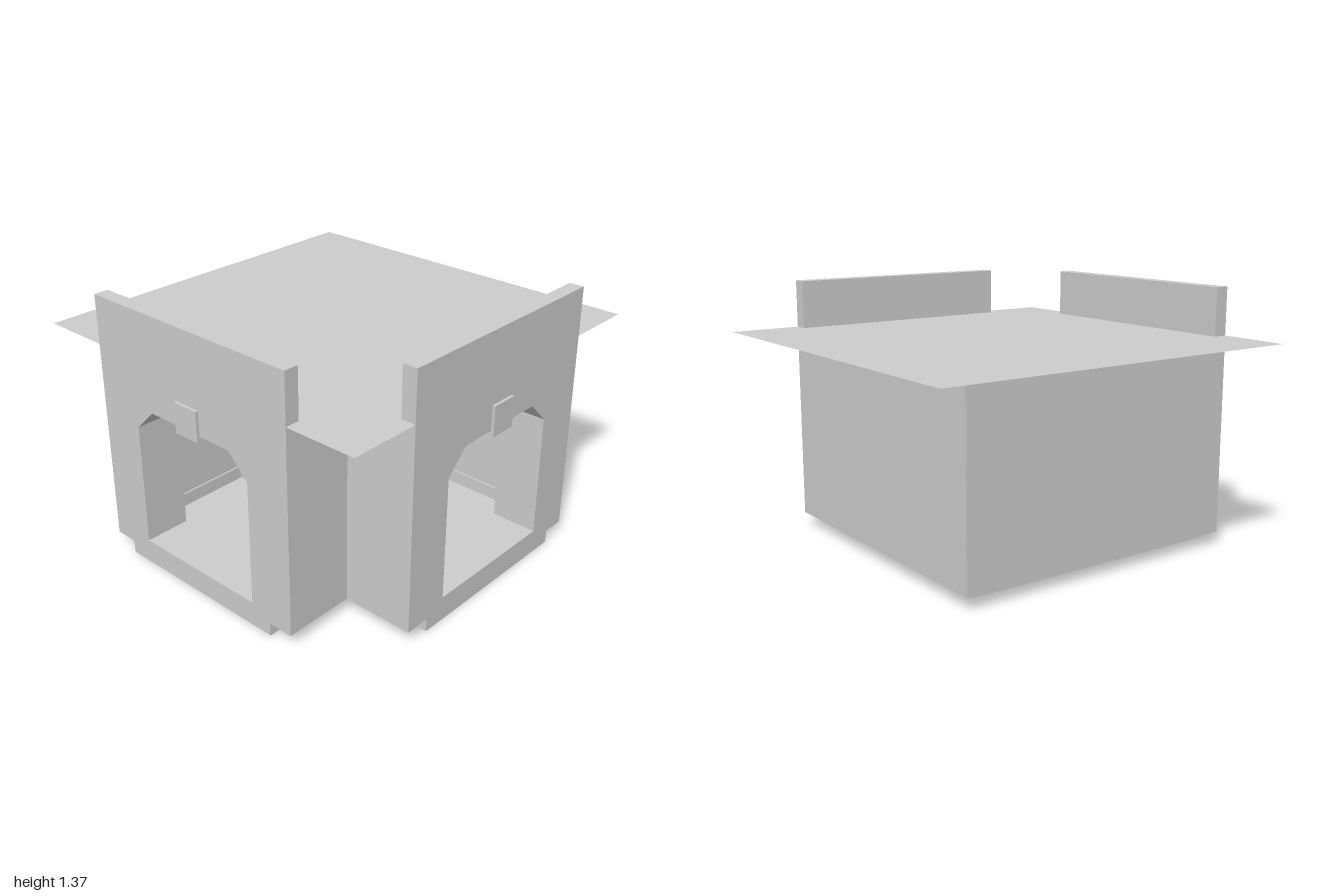
import * as THREE from 'three';

const plaster = new THREE.MeshStandardMaterial({ color: 0xcccccc, side: THREE.DoubleSide });
plaster.name = 'plaster grey';

const BASE = 0.067, FLOOR = 0.125, ROOF = 1.115, TOP = 1.365;

function add(parent, name, geometry) {
  const mesh = new THREE.Mesh(geometry, plaster);
  mesh.name = name;
  parent.add(mesh);
  return mesh;
}

// Box given by its two opposite corners
function box(parent, name, x0, x1, y0, y1, z0, z1) {
  const mesh = add(parent, name, new THREE.BoxGeometry(x1 - x0, y1 - y0, z1 - z0));
  mesh.position.set((x0 + x1) / 2, (y0 + y1) / 2, (z0 + z1) / 2);
}

const polygon = (points) => points.map(([x, y]) => new THREE.Vector2(x, y));

// L-shaped slab: a square with its front corner cut out
function slab(parent, name, y0, y1) {
  const plan = polygon([[-0.98, 0.505], [-0.98, -0.48], [-0.48, -0.48], [-0.48, -0.98], [0.505, -0.98], [0.505, 0.505]]);
  const geometry = new THREE.ExtrudeGeometry(new THREE.Shape(plan), { depth: y1 - y0, bevelEnabled: false });
  geometry.rotateX(-Math.PI / 2);
  add(parent, name, geometry).position.y = y0;
}

// One shop side: street facade, the wall opposite it and their trim
function createSide(name) {
  const side = new THREE.Group();
  side.name = name;

  // Facade with a chamfered doorway
  const wall = new THREE.Shape(polygon([[-0.61, BASE], [0.627, BASE], [0.627, ROOF], [-0.61, ROOF]]));
  wall.holes.push(new THREE.Path(polygon([
    [-0.365, FLOOR], [-0.365, 0.76], [-0.25, 0.873], [0.265, 0.873], [0.38, 0.76], [0.38, FLOOR],
  ])));
  const facade = new THREE.ExtrudeGeometry(wall, { depth: 0.24, bevelEnabled: false });
  add(side, 'facade', facade).position.z = 0.74;
  box(side, 'parapet', -0.61, 0.627, ROOF, TOP, 0.905, 0.98);
  box(side, 'keystone', -0.065, 0.08, 0.845, 1.0, 0.975, 0.995);

  // Rear wall and the wall of the cut corner
  box(side, 'rearWall', -0.74, 0.627, BASE, ROOF, -0.63, -0.505);
  box(side, 'cornerWall', -0.61, -0.48, BASE, ROOF, 0.48, 0.74);

  // Interior trim
  box(side, 'rearPilaster', -0.25, -0.11, FLOOR, ROOF, -0.505, -0.48);
  box(side, 'rearSkirting', -0.74, 0.505, FLOOR, 0.195, -0.505, -0.495);
  box(side, 'cornerPilaster', -0.48, -0.455, FLOOR, ROOF, 0.56, 0.7);
  box(side, 'cornerSkirting', -0.48, -0.47, FLOOR, 0.195, 0.48, 0.74);

  // Exposed bricks on the rear wall
  for (const [x0, x1, y0, y1] of [
    [0.045, 0.155, 0.745, 0.82], [0.1, 0.27, 0.335, 0.4], [0.23, 0.345, 0.23, 0.31],
  ]) box(side, 'exposedBrick', x0, x1, y0, y1, -0.505, -0.495);
  return side;
}

export function createModel() {
  const model = new THREE.Group();
  model.name = 'cornerShop';

  slab(model, 'foundation', 0, BASE);
  slab(model, 'floor', BASE, FLOOR);

  // The second side mirrors the first across the diagonal
  const second = createSide('sideStreetSide');
  second.scale.x = -1;
  second.rotation.y = -Math.PI / 2;
  model.add(createSide('frontSide'), second);

  // Loose floor chips near the back
  for (const [x, w, z] of [[0.155, 0.03, -0.42], [0.19, 0.05, -0.45], [0.245, 0.04, -0.4], [0.3, 0.08, -0.44], [0.355, 0.03, -0.41]])
    box(model, 'floorChip', x - w / 2, x + w / 2, FLOOR, 0.145, z - 0.02, z + 0.02);

  // Thin overhanging roof
  const roof = new THREE.PlaneGeometry(1.98, 1.98).rotateX(-Math.PI / 2);
  add(model, 'roof', roof).position.set(0.01, ROOF, -0.01);
  return model;
}
